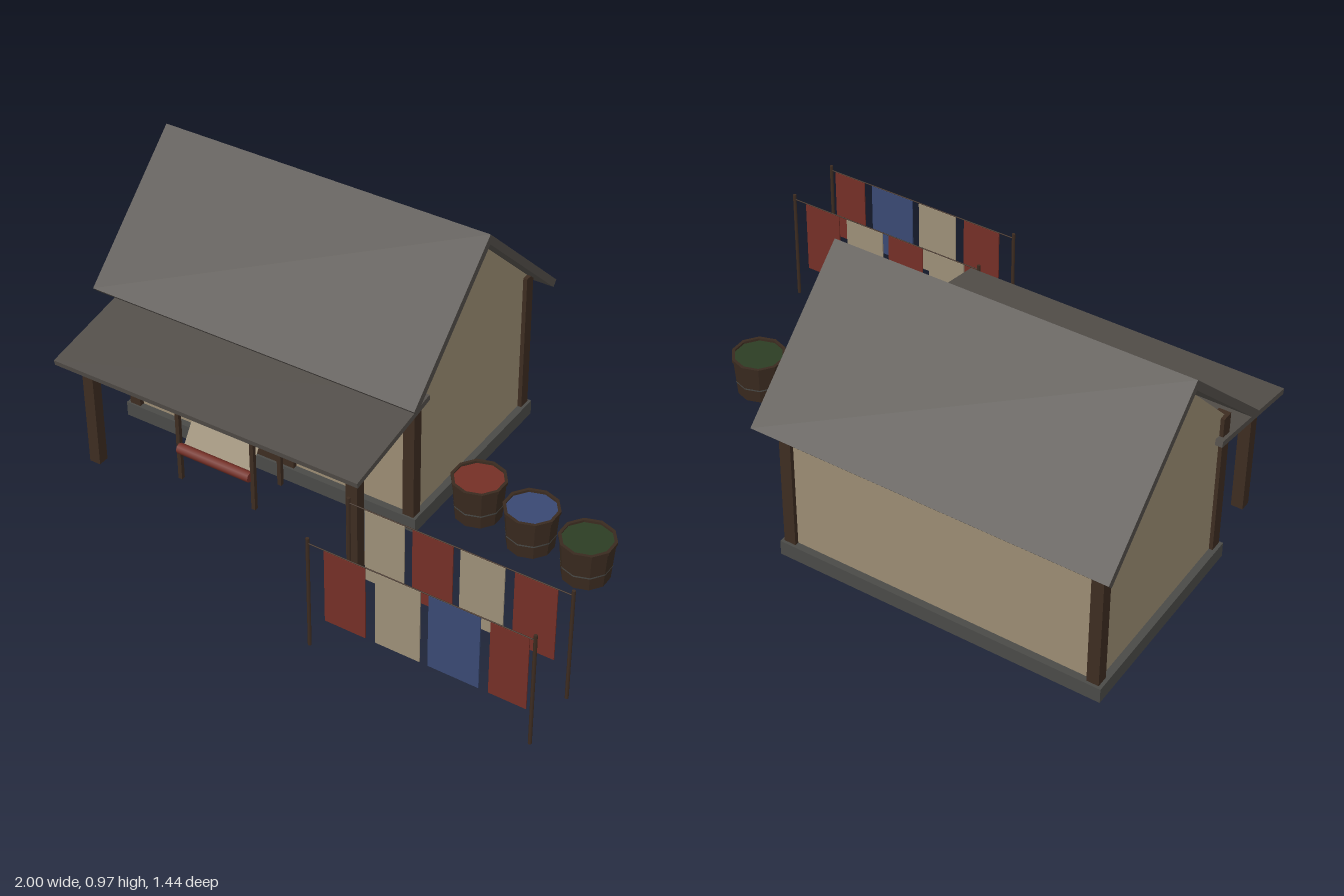
import * as THREE from 'three';

const material = (name, color, side = THREE.FrontSide) => {
  const m = new THREE.MeshStandardMaterial({ color, side });
  m.name = name;
  return m;
};

export function createModel() {
  const model = new THREE.Group();
  const roofing = material('roofing', 0x524e49);
  const stone = material('stone', 0x4a4a47);
  const plaster = material('plaster', 0x9a8b72);
  const wood = material('wood', 0x3d2c21);
  const stave = material('tubWood', 0x392a1f, THREE.DoubleSide);
  const red = material('red', 0x742f26, THREE.DoubleSide);
  const blue = material('blue', 0x394872, THREE.DoubleSide);
  const green = material('green', 0x2c3d24);
  const linen = material('linen', 0x9b8e77, THREE.DoubleSide);
  stave.flatShading = true;

  const add = (name, geometry, mat, parent = model) => {
    const mesh = new THREE.Mesh(geometry, mat);
    mesh.name = name;
    parent.add(mesh);
    return mesh;
  };
  // Box given by its limits on each axis
  const box = (name, [x0, x1], [y0, y1], [z0, z1], mat, parent) =>
    add(name, new THREE.BoxGeometry(x1 - x0, y1 - y0, z1 - z0), mat, parent)
      .position.set((x0 + x1) / 2, (y0 + y1) / 2, (z0 + z1) / 2);
  // Profile of [z, y] points extruded along x
  const profile = (name, points, x0, x1, mat) => {
    const shape = new THREE.Shape(points.map(([z, y]) => new THREE.Vector2(z, y)));
    const g = new THREE.ExtrudeGeometry(shape, { depth: x1 - x0, bevelEnabled: false });
    g.rotateY(-Math.PI / 2).translate(x1, 0, 0);
    return add(name, g, mat);
  };
  // Round bar lying along x
  const bar = (name, x0, x1, y, z, r, mat, parent) => {
    const g = new THREE.CylinderGeometry(r, r, x1 - x0, 8).rotateZ(Math.PI / 2);
    add(name, g, mat, parent).position.set((x0 + x1) / 2, y, z);
  };

  // House body with gables
  box('foundation', [-0.96, 0.21], [0, 0.055], [-0.66, 0.1], stone);
  profile('walls', [[0.075, 0.055], [0.075, 0.585], [-0.262, 0.935], [-0.635, 0.585], [-0.635, 0.055]],
    -0.935, 0.185, plaster);
  for (const x of [-0.948, 0.158]) {
    for (const z of [0.052, -0.65]) box('cornerPost', [x, x + 0.042], [0.055, 0.585], [z, z + 0.042], wood);
  }

  // Main roof and porch roof
  profile('frontRoof', [[-0.262, 0.97], [0.178, 0.56], [0.16, 0.54], [-0.262, 0.933]], -1, 0.25, roofing);
  profile('backRoof', [[-0.262, 0.97], [-0.262, 0.933], [-0.702, 0.52], [-0.72, 0.54]], -1, 0.25, roofing);
  profile('porchRoof', [[0.447, 0.446], [0.03, 0.52], [0.026, 0.499], [0.443, 0.426]], -0.96, 0.215, roofing);
  for (const x of [-0.912, 0.122]) box('porchPost', [x, x + 0.042], [0, 0.43], [0.33, 0.37], wood);

  // Doorway
  box('door', [-0.49, -0.27], [0.055, 0.42], [0.06, 0.092], wood);
  box('lintel', [-0.515, -0.235], [0.4, 0.48], [0.06, 0.1], wood);

  // Loom under the porch
  const loom = new THREE.Group();
  loom.name = 'loom';
  model.add(loom);
  for (const x of [-0.605, -0.307]) {
    for (const z of [0.12, 0.27]) box('loomPost', [x, x + 0.015], [0, 0.335], [z, z + 0.015], wood, loom);
  }
  box('loomTopBeam', [-0.6, -0.3], [0.312, 0.328], [0.121, 0.134], wood, loom);
  box('loomLowerBeam', [-0.6, -0.3], [0.113, 0.124], [0.272, 0.284], wood, loom);
  bar('clothRoll', -0.592, -0.305, 0.135, 0.287, 0.019, red, loom);
  const warp = add('warpSheet', new THREE.PlaneGeometry(0.27, Math.hypot(0.18, 0.12)), linen, loom);
  warp.position.set(-0.452, 0.226, 0.206);
  warp.rotation.x = -Math.atan2(0.12, 0.18);

  // Dye tubs
  for (const [x, z, dye] of [[0.33, -0.1, red], [0.548, -0.062, blue], [0.77, -0.026, green]]) {
    const tub = new THREE.Group();
    tub.name = 'dyeTub';
    tub.position.set(x, 0, z);
    model.add(tub);
    add('tubSide', new THREE.CylinderGeometry(0.092, 0.081, 0.15, 10, 1, true), stave, tub).position.y = 0.075;
    add('tubBase', new THREE.CircleGeometry(0.081, 10).rotateX(Math.PI / 2).rotateY(Math.PI / 10), stave, tub)
      .position.y = 0.004;
    add('tubRim', new THREE.CylinderGeometry(0.096, 0.095, 0.013, 10, 1, true), stave, tub).position.y = 0.1435;
    add('tubRimTop', new THREE.RingGeometry(0.085, 0.096, 10).rotateX(-Math.PI / 2).rotateY(Math.PI / 10), stave, tub)
      .position.y = 0.15;
    add('tubHoop', new THREE.CylinderGeometry(0.087, 0.0865, 0.006, 10, 1, true), stone, tub).position.y = 0.053;
    add('dye', new THREE.CylinderGeometry(0.089, 0.089, 0.004, 10), dye, tub).position.y = 0.136;
  }

  // Two washing lines with hanging cloths: [start x, end x, colour]
  const lines = [
    [0.718, [[0.275, 0.42, red], [0.455, 0.61, linen], [0.638, 0.812, blue], [0.845, 0.972, red]]],
    [0.496, [[0.275, 0.417, linen], [0.445, 0.587, red], [0.612, 0.764, linen], [0.797, 0.94, red]]],
  ];
  for (const [z, cloths] of lines) {
    const line = new THREE.Group();
    line.name = 'washingLine';
    model.add(line);
    for (const x of [0.216, 0.99]) {
      add('linePole', new THREE.CylinderGeometry(0.006, 0.006, 0.427, 6), wood, line).position.set(x, 0.2135, z);
    }
    bar('rope', 0.216, 0.99, 0.408, z, 0.002, wood, line);
    for (const [x0, x1, mat] of cloths) box('cloth', [x0, x1], [0.13, 0.405], [z - 0.002, z + 0.002], mat, line);
  }
  return model;
}
